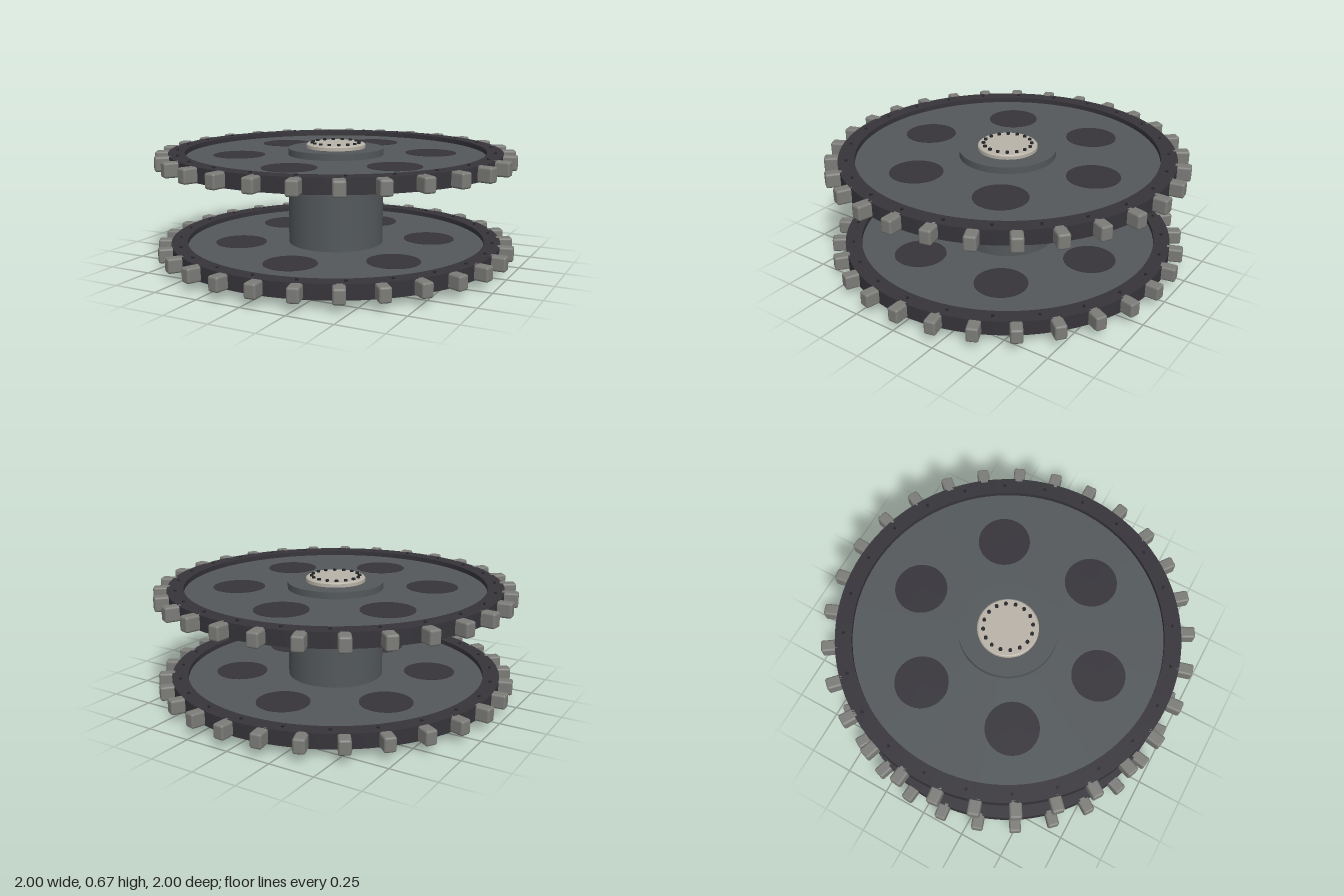
import * as THREE from 'three';
import { toCreasedNormals } from 'three/addons/utils/BufferGeometryUtils.js';
import { RoundedBoxGeometry } from 'three/addons/geometries/RoundedBoxGeometry.js';

const mat = (name, color) => {
  const m = new THREE.MeshStandardMaterial({ color });
  m.name = name;
  return m;
};

// Turned part with crisp corners; the profile runs from bottom to top as [radius, y]
const turned = (points, segments = 96) => toCreasedNormals(
  new THREE.LatheGeometry(points.map(([r, y]) => new THREE.Vector2(r, y)), segments), 0.5);

export function createModel() {
  const model = new THREE.Group();
  model.name = 'spoolWheel';

  const steel = mat('slateSteel', 0x53585b);
  const dark = mat('darkRim', 0x36343a);
  const grey = mat('toothGrey', 0x7b7b78);
  const pale = mat('paleMetal', 0xb8b2a7);
  const black = mat('boltBlack', 0x25252b);

  const add = (parent, name, geometry, material, x = 0, y = 0, z = 0) => {
    const mesh = new THREE.Mesh(geometry, material);
    mesh.name = name;
    mesh.position.set(x, y, z);
    parent.add(mesh);
    return mesh;
  };

  // Place count copies around the y axis
  const ring = (parent, name, geometry, material, count, radius, y, start = 0) => {
    for (let i = 0; i < count; i++) {
      const a = start + (i / count) * Math.PI * 2;
      add(parent, name, geometry, material, Math.cos(a) * radius, y, Math.sin(a) * radius)
        .rotation.y = -a;
    }
  };

  const rimGeo = turned([[0.835, -0.04], [0.925, -0.04], [0.925, 0.04], [0.835, 0.04], [0.835, -0.04]]);
  const discGeo = new THREE.CylinderGeometry(0.84, 0.84, 0.026, 96);
  const spotGeo = new THREE.CylinderGeometry(0.143, 0.143, 0.004, 48);
  const toothGeo = new RoundedBoxGeometry(0.1, 0.08, 0.064, 3, 0.012);
  const rimBoltGeo = new THREE.CylinderGeometry(0.008, 0.008, 0.02, 10);
  const capBoltGeo = new THREE.CylinderGeometry(0.01, 0.01, 0.02, 12);
  const capGeo = turned([[0, -0.0125], [0.165, -0.0125], [0.165, 0.006], [0.158, 0.0125], [0, 0.0125]], 64);

  // Two toothed wheels
  for (const [name, y] of [['lowerWheel', 0.09], ['upperWheel', 0.59]]) {
    const wheel = new THREE.Group();
    wheel.name = name;
    wheel.position.y = y;
    model.add(wheel);
    add(wheel, 'rim', rimGeo, dark);
    add(wheel, 'disc', discGeo, steel);
    ring(wheel, 'tooth', toothGeo, grey, 29, 0.95, 0);
    for (const side of [-1, 1]) {
      ring(wheel, 'discSpot', spotGeo, dark, 6, 0.538, side * 0.013, 0.506);
      ring(wheel, 'rimBolt', rimBoltGeo, black, 24, 0.88, side * 0.037);
    }
  }

  // Central drum running through both wheels
  add(model, 'drum', new THREE.CylinderGeometry(0.267, 0.267, 0.6, 80), steel, 0, 0.34, 0);

  // Bolted caps on both ends of the drum
  for (const side of [-1, 1]) {
    const cap = new THREE.Group();
    cap.name = side > 0 ? 'topCap' : 'bottomCap';
    cap.position.y = 0.34 + side * 0.3125;
    if (side < 0) cap.rotation.x = Math.PI;
    model.add(cap);
    add(cap, 'capPlate', capGeo, pale);
    ring(cap, 'capBolt', capBoltGeo, black, 16, 0.133, 0.0125, Math.PI / 16);
  }

  return model;
}
